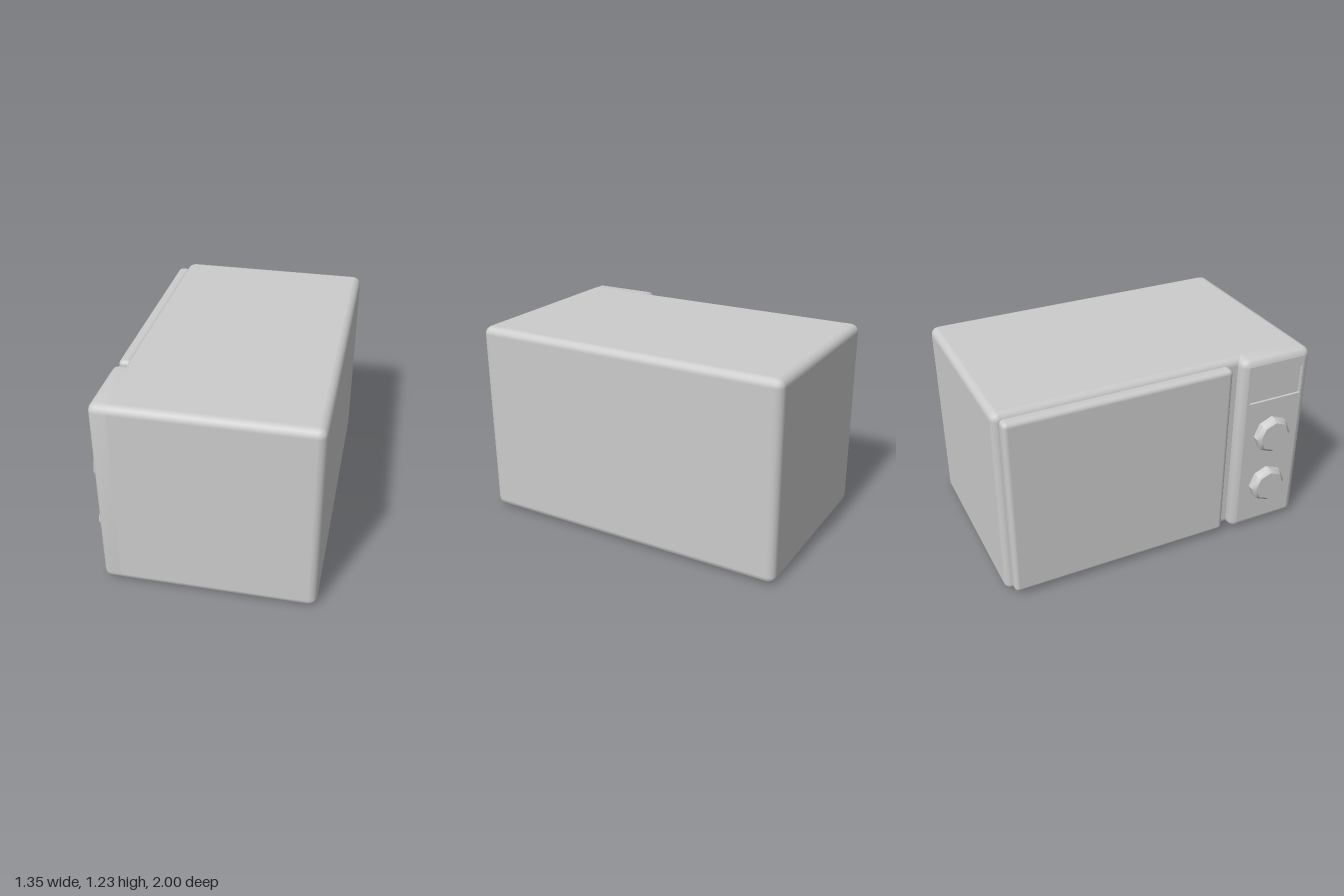
import * as THREE from 'three';
import { toCreasedNormals } from 'three/addons/utils/BufferGeometryUtils.js';
import { RoundedBoxGeometry } from 'three/addons/geometries/RoundedBoxGeometry.js';

const grey = new THREE.MeshStandardMaterial({ color: 0xcccccc });

function add(parent, name, geometry, x = 0, y = 0, z = 0) {
  const mesh = new THREE.Mesh(geometry, grey);
  mesh.name = name;
  mesh.position.set(x, y, z);
  parent.add(mesh);
  return mesh;
}

// Rounded box given by its limits
function roundedBox(parent, name, [x0, x1], [y0, y1], [z0, z1], radius) {
  const g = new RoundedBoxGeometry(x1 - x0, y1 - y0, z1 - z0, 2, radius);
  return add(parent, name, g, (x0 + x1) / 2, (y0 + y1) / 2, (z0 + z1) / 2);
}

// Rounded rectangle outline in z (across) and y (up)
function roundedRect([z0, z1], [y0, y1], r, path = new THREE.Shape()) {
  path.moveTo(z0 + r, y0);
  path.lineTo(z1 - r, y0);
  path.absarc(z1 - r, y0 + r, r, -Math.PI / 2, 0);
  path.lineTo(z1, y1 - r);
  path.absarc(z1 - r, y1 - r, r, 0, Math.PI / 2);
  path.lineTo(z0 + r, y1);
  path.absarc(z0 + r, y1 - r, r, Math.PI / 2, Math.PI);
  path.lineTo(z0, y0 + r);
  path.absarc(z0 + r, y0 + r, r, Math.PI, Math.PI * 1.5);
  return path;
}

export function createModel() {
  const model = new THREE.Group();
  model.name = 'microwaveOven';

  // Case and door; the door faces -x
  roundedBox(model, 'case', [-0.555, 0.67], [0, 1.23], [-1, 1], 0.05);
  roundedBox(model, 'door', [-0.62, -0.535], [0.03, 1.2], [-0.96, 0.455], 0.03);

  // Control panel: bevelled shell, without its caps, that runs back into the case
  const panel = new THREE.Group();
  panel.name = 'controlPanel';
  model.add(panel);
  const front = -0.618, bevel = 0.045, depth = 0.2;
  const shell = new THREE.ExtrudeGeometry(roundedRect([0.52, 0.999], [0.001, 1.229], 0.05), {
    depth, bevelSize: bevel, bevelThickness: bevel, bevelOffset: -bevel, bevelSegments: 3, curveSegments: 3,
  });
  const sides = new THREE.BufferGeometry();
  const points = shell.attributes.position.array.slice(shell.groups[1].start * 3);
  sides.setAttribute('position', new THREE.BufferAttribute(points, 3));
  sides.rotateY(-Math.PI / 2);
  add(panel, 'panelShell', toCreasedNormals(sides, 0.9), front + depth + bevel);

  // Flat panel face with the display opening
  const face = roundedRect([0.52 + bevel, 0.999 - bevel], [0.001 + bevel, 1.229 - bevel], 0.005);
  face.holes.push(roundedRect([0.585, 0.945], [0.93, 1.12], 0.004, new THREE.Path()));
  const plate = new THREE.ExtrudeGeometry(face, { depth: 0.02, bevelEnabled: false, curveSegments: 3 });
  plate.rotateY(-Math.PI / 2);
  add(panel, 'panelFace', plate, front + 0.02);
  add(panel, 'display', new THREE.BoxGeometry(0.04, 0.23, 0.385), front + 0.036, 1.025, 0.763);

  // Two bevelled eight-sided knobs
  const profile = [[0.12, -0.02], [0.12, 0.038], [0.098, 0.06], [0, 0.06]].map(([r, h]) => new THREE.Vector2(r, h));
  const knob = toCreasedNormals(new THREE.LatheGeometry(profile, 8), 0.75);
  knob.rotateZ(Math.PI / 2);
  for (const [name, y] of [['upperKnob', 0.69], ['lowerKnob', 0.317]]) {
    add(panel, name, knob, -0.615, y, 0.755);
  }
  return model;
}
